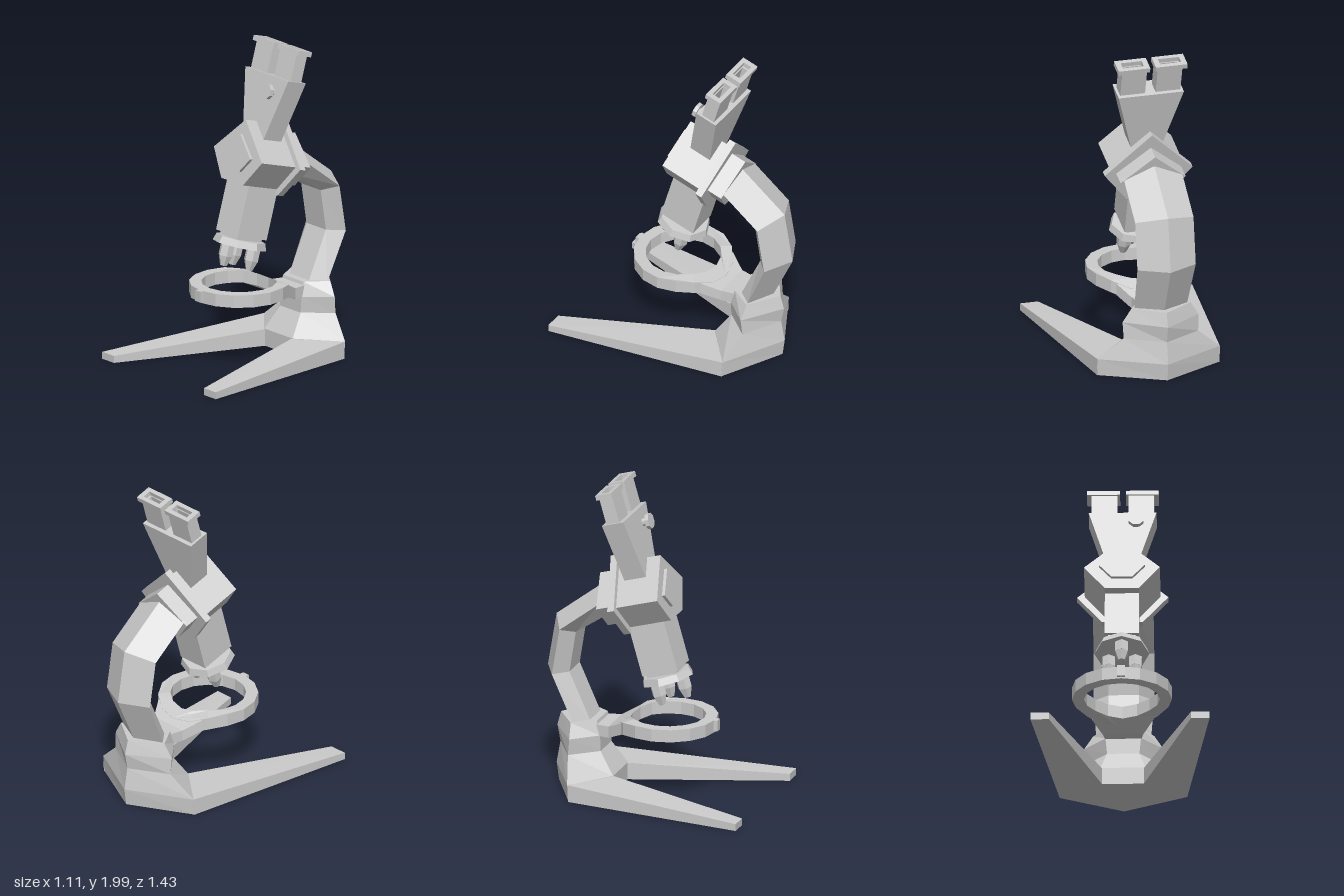
import * as THREE from 'three';

const material = new THREE.MeshStandardMaterial({ color: 0xcccccc, flatShading: true });

function add(parent, name, geometry, x = 0, y = 0, z = 0) {
  const mesh = new THREE.Mesh(geometry, material);
  mesh.name = name;
  mesh.position.set(x, y, z);
  parent.add(mesh);
  return mesh;
}

// Skin a list of equal-length cross-sections and cap both ends, facing outward
function loft(sections) {
  const n = sections[0].length, tris = [], last = sections.length - 1;
  for (let s = 0; s < last; s++) {
    for (let i = 0; i < n; i++) {
      const j = (i + 1) % n, a = sections[s], b = sections[s + 1];
      tris.push([a[i], a[j], b[j]], [a[i], b[j], b[i]]);
    }
  }
  for (let i = 1; i < n - 1; i++) {
    const a = sections[0], b = sections[last];
    tris.push([a[0], a[i + 1], a[i]], [b[0], b[i], b[i + 1]]);
  }
  let volume = 0;
  const v = (p) => new THREE.Vector3(...p);
  for (const [a, b, c] of tris) volume += v(a).dot(v(b).cross(v(c)));
  if (volume < 0) tris.forEach((t) => t.reverse());
  const geometry = new THREE.BufferGeometry();
  geometry.setAttribute('position', new THREE.Float32BufferAttribute(tris.flat(2), 3));
  geometry.computeVertexNormals();
  return geometry;
}

// Five-sided section: one ridge point, two side corners, two front corners
// ridge = [y, z], side and front = [x, y, z]
function pent([ry, rz], [sx, sy, sz], [fx, fy, fz]) {
  return [[0, ry, rz], [sx, sy, sz], [fx, fy, fz], [-fx, fy, fz], [-sx, sy, sz]];
}

// Upright five-sided prism between two depths
function pentPrism(top, side, low, z0, z1) {
  return loft([z0, z1].map((z) => pent([top, z], [...side, z], [...low, z])));
}

// Rectangular section across x, at one depth
const rect = (x, y0, y1, z) => [[-x, y0, z], [x, y0, z], [x, y1, z], [-x, y1, z]];

function rectPath(PathType, w, h) {
  const p = new PathType();
  p.moveTo(-w / 2, -h / 2);
  p.lineTo(w / 2, -h / 2);
  p.lineTo(w / 2, h / 2);
  p.lineTo(-w / 2, h / 2);
  p.closePath();
  return p;
}

function buildBase(parent) {
  // Flared column
  add(parent, 'baseColumn', loft([
    pent([0, -0.645], [0.395, 0, -0.44], [0.14, 0, -0.24]),
    pent([0.11, -0.66], [0.395, 0.11, -0.45], [0.14, 0.11, -0.24]),
    pent([0.25, -0.635], [0.24, 0.25, -0.5], [0.1, 0.25, -0.335]),
    pent([0.355, -0.655], [0.245, 0.355, -0.49], [0.11, 0.355, -0.335]),
    pent([0.445, -0.63], [0.19, 0.445, -0.5], [0.1, 0.445, -0.36]),
  ]));
  // Tapered feet
  for (const s of [-1, 1]) {
    add(parent, s > 0 ? 'leftFoot' : 'rightFoot', loft([
      [[s * 0.394, 0, -0.445], [s * 0.13, 0, -0.24], [s * 0.13, 0.108, -0.24], [s * 0.394, 0.11, -0.45]],
      [[s * 0.555, 0, 0.715], [s * 0.44, 0, 0.715], [s * 0.44, 0.045, 0.715], [s * 0.555, 0.045, 0.715]],
    ]));
  }
  // Curved arm
  add(parent, 'arm', loft([
    pent([0.43, -0.574], [0.17, 0.43, -0.49], [0.095, 0.43, -0.4]),
    pent([0.746, -0.717], [0.188, 0.748, -0.625], [0.095, 0.746, -0.542]),
    pent([1.085, -0.66], [0.188, 1.045, -0.575], [0.095, 1.01, -0.5]),
    pent([1.33, -0.34], [0.188, 1.24, -0.32], [0.095, 1.15, -0.29]),
  ]));
}

function buildStage(parent) {
  const shape = new THREE.Shape(), hole = new THREE.Path();
  const circle = (r) => Array.from({ length: 16 }, (_, i) =>
    new THREE.Vector2(r * Math.cos(i * Math.PI / 8), r * Math.sin(i * Math.PI / 8)));
  shape.setFromPoints(circle(0.31));
  hole.setFromPoints(circle(0.235));
  shape.holes.push(hole);
  const ring = new THREE.ExtrudeGeometry(shape, { depth: 0.08, bevelEnabled: false });
  ring.rotateX(-Math.PI / 2).translate(0, 0.43, 0.075);
  // The rear of the ring bends down to the bracket
  const p = ring.attributes.position;
  for (let i = 0; i < p.count; i++) {
    p.setY(i, p.getY(i) - Math.max(0, -0.12 - p.getZ(i)) * 0.54);
  }
  ring.computeVertexNormals();
  add(parent, 'stageRing', ring);
  add(parent, 'stageBracket', loft([
    rect(0.19, 0.405, 0.48, -0.17),
    rect(0.125, 0.352, 0.425, -0.275),
    rect(0.1, 0.352, 0.425, -0.4),
  ]));
  add(parent, 'stageTab', new THREE.BoxGeometry(0.05, 0.07, 0.04), 0, 0.475, 0.385);
}

function buildOptics(parent) {
  // Head, front panel, rear flange and mount
  add(parent, 'head', pentPrism(0.2, [0.235, -0.025], [0.106, -0.195], 0.08, -0.21));
  add(parent, 'headFrontPanel', pentPrism(0.108, [0.143, -0.022], [0.065, -0.118], 0.1, 0.07));
  add(parent, 'rearFlange', pentPrism(0.25, [0.283, -0.03], [0.127, -0.23], -0.2, -0.245));
  add(parent, 'armMount', pentPrism(0.155, [0.21, -0.02], [0.1, -0.16], -0.24, -0.345));

  // Main tube and revolving nosepiece
  add(parent, 'mainTube', new THREE.BoxGeometry(0.212, 0.42, 0.24), 0, -0.31, -0.09);
  add(parent, 'tubeNeck', new THREE.BoxGeometry(0.17, 0.05, 0.2), 0, -0.53, -0.09);
  add(parent, 'nosepiece', new THREE.CylinderGeometry(0.155, 0.17, 0.045, 8), 0, -0.563, -0.093);
  for (let i = 0; i < 3; i++) {
    const a = i * Math.PI * 2 / 3;
    const x = 0.095 * Math.sin(a), z = -0.093 + 0.095 * Math.cos(a);
    add(parent, 'objectiveBarrel', new THREE.CylinderGeometry(0.046, 0.046, 0.08, 6), x, -0.62, z);
    add(parent, 'objectiveTip', new THREE.CylinderGeometry(0.046, 0.022, 0.065, 6), x, -0.69, z);
  }

  // Wedge-shaped eyepiece housing
  add(parent, 'eyepieceHousing', loft([[0.1, 0.1], [0.5, 0.21]].map(([y, x]) =>
    [[-x, y, -0.01], [x, y, -0.01], [x, y, -0.156], [-x, y, -0.156]])));

  // Eyepieces with slotted caps
  for (const s of [-1, 1]) {
    const x = s * 0.12;
    const tubeShape = rectPath(THREE.Shape, 0.16, 0.088);
    const capShape = rectPath(THREE.Shape, 0.204, 0.108);
    tubeShape.holes.push(rectPath(THREE.Path, 0.12, 0.04));
    capShape.holes.push(rectPath(THREE.Path, 0.135, 0.052));
    const up = (shape, depth) => new THREE.ExtrudeGeometry(shape, { depth, bevelEnabled: false })
      .rotateX(-Math.PI / 2);
    add(parent, 'eyepieceTube', up(tubeShape, 0.18), x * 0.95, 0.49, -0.087);
    add(parent, 'eyepieceCap', up(capShape, 0.032), x, 0.668, -0.087);
  }

  // Adjustment knob
  const stem = add(parent, 'knobStem', new THREE.CylinderGeometry(0.025, 0.025, 0.04, 8), 0.085, 0.405, 0.005);
  const knob = add(parent, 'knob', new THREE.CylinderGeometry(0.05, 0.05, 0.025, 8), 0.085, 0.405, 0.032);
  for (const m of [stem, knob]) m.rotation.set(Math.PI / 2, Math.PI / 8, 0);
}

export function createModel() {
  const model = new THREE.Group();
  model.name = 'microscope';
  buildBase(model);
  buildStage(model);
  // The optics lean back as one unit
  const optics = new THREE.Group();
  optics.name = 'optics';
  optics.position.set(0, 1.33, 0);
  optics.rotation.x = -THREE.MathUtils.degToRad(16);
  buildOptics(optics);
  model.add(optics);
  return model;
}
